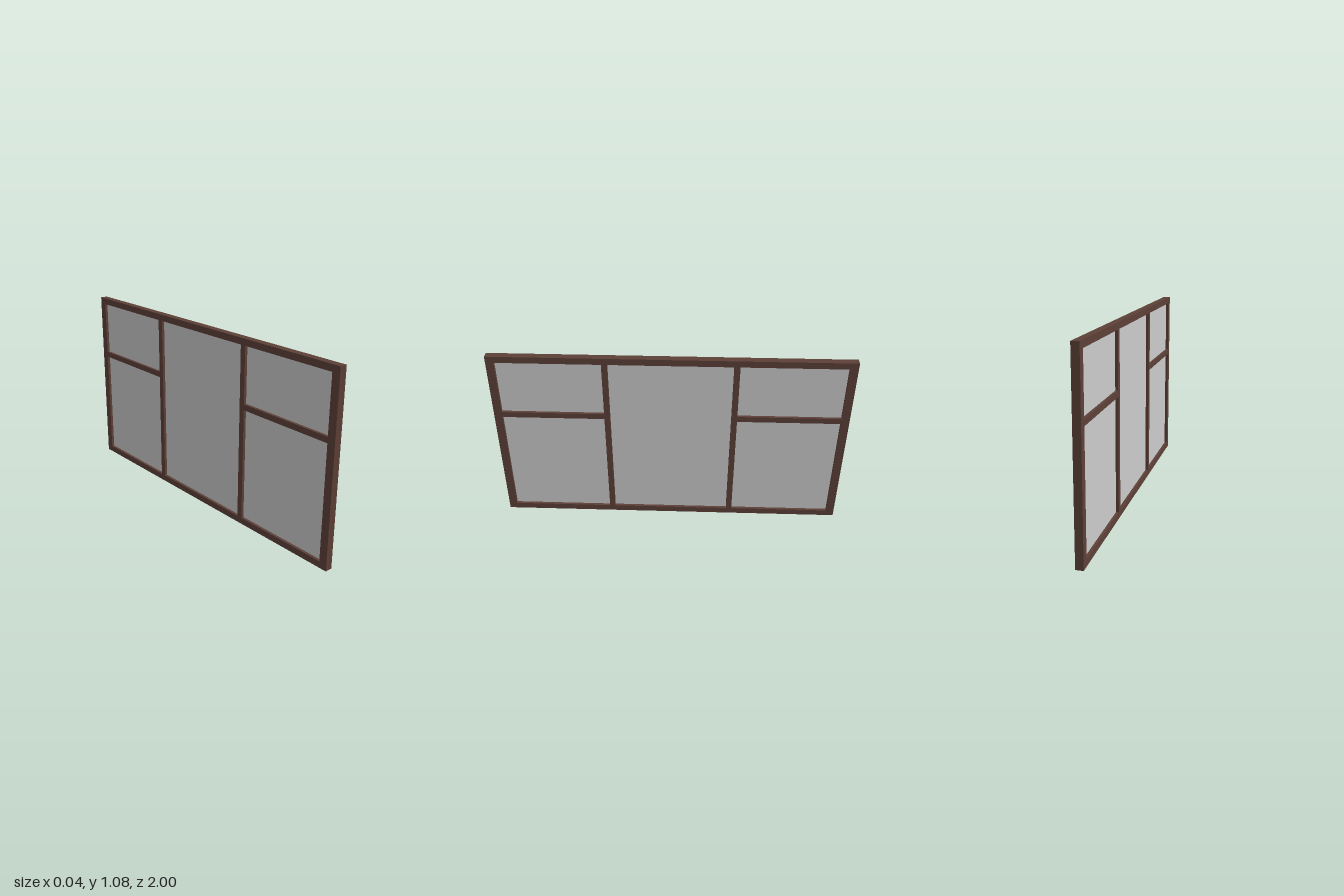
import * as THREE from 'three';

export function createModel() {
  const group = new THREE.Group();
  const wood = new THREE.MeshStandardMaterial({ color: 0x5d4037 });
  const glass = new THREE.MeshStandardMaterial({ color: 0xcccccc });

  const H = 1.075, DEPTH = 0.042, STILE = 0.046, RAIL = 0.037;
  const MULLION_IN = 0.341, MULLION_OUT = 0.374;
  const BAR_LOW = 0.685, BAR_HIGH = 0.718;

  // Box spanning z0..z1 and y0..y1, centred on x = 0
  function slab(name, z0, z1, y0, y1, depth, material) {
    const mesh = new THREE.Mesh(new THREE.BoxGeometry(depth, y1 - y0, Math.abs(z1 - z0)), material);
    mesh.position.set(0, (y0 + y1) / 2, (z0 + z1) / 2);
    mesh.name = name;
    group.add(mesh);
  }
  const bar = (name, z0, z1, y0, y1) => slab(name, z0, z1, y0, y1, DEPTH, wood);
  const pane = (name, z0, z1, y0, y1) => slab(name, z0, z1, y0, y1, 0.01, glass);

  // Outer rails and the tall middle pane
  const inner = 1 - STILE;
  bar('bottomRail', -inner, inner, 0, RAIL);
  bar('topRail', -inner, inner, H - RAIL, H);
  pane('centrePane', -MULLION_IN, MULLION_IN, RAIL, H - RAIL);

  // Mirrored side bays: stile, mullion, transom and two panes
  for (const [side, s] of [['front', 1], ['back', -1]]) {
    bar(side + 'Stile', s * inner, s, 0, H);
    bar(side + 'Mullion', s * MULLION_IN, s * MULLION_OUT, RAIL, H - RAIL);
    bar(side + 'Transom', s * MULLION_OUT, s * inner, BAR_LOW, BAR_HIGH);
    pane(side + 'LowerPane', s * MULLION_OUT, s * inner, RAIL, BAR_LOW);
    pane(side + 'UpperPane', s * MULLION_OUT, s * inner, BAR_HIGH, H - RAIL);
  }
  return group;
}
